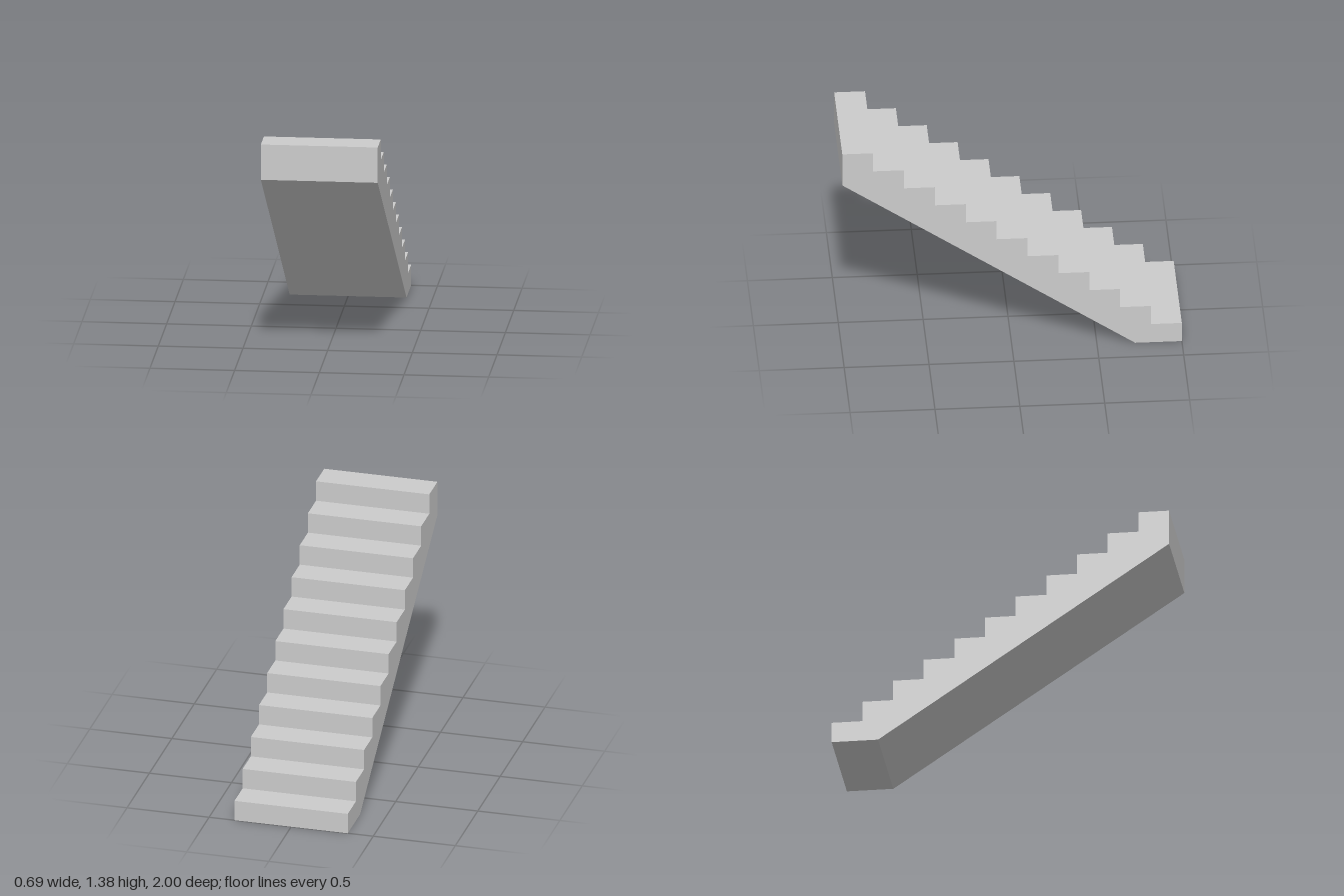
import * as THREE from 'three';

const STEPS = 11;
const LENGTH = 2;
const HEIGHT = 1.38;
const WIDTH = 0.69;

export function createModel() {
  const group = new THREE.Group();
  group.name = 'staircase';
  const run = LENGTH / STEPS;
  const rise = HEIGHT / STEPS;

  // Side profile, drawn as (z, y): sloped soffit, then the steps
  const profile = new THREE.Shape();
  profile.moveTo(-1, 0);
  profile.lineTo(-0.725, 0);
  profile.lineTo(1, 1.165);
  profile.lineTo(1, HEIGHT);
  for (let i = STEPS - 1; i >= 0; i--) {
    const z = -1 + i * run;
    profile.lineTo(z, (i + 1) * rise); // tread
    if (i > 0) profile.lineTo(z, i * rise); // riser
  }
  profile.closePath();

  // Extrude across the width, then turn the profile to run along z
  const geometry = new THREE.ExtrudeGeometry(profile, { depth: WIDTH, bevelEnabled: false });
  geometry.translate(0, 0, -WIDTH / 2);
  geometry.rotateY(-Math.PI / 2);

  const material = new THREE.MeshStandardMaterial({ color: 0xcccccc, flatShading: true });
  const flight = new THREE.Mesh(geometry, material);
  flight.name = 'stairFlight';
  group.add(flight);
  return group;
}
